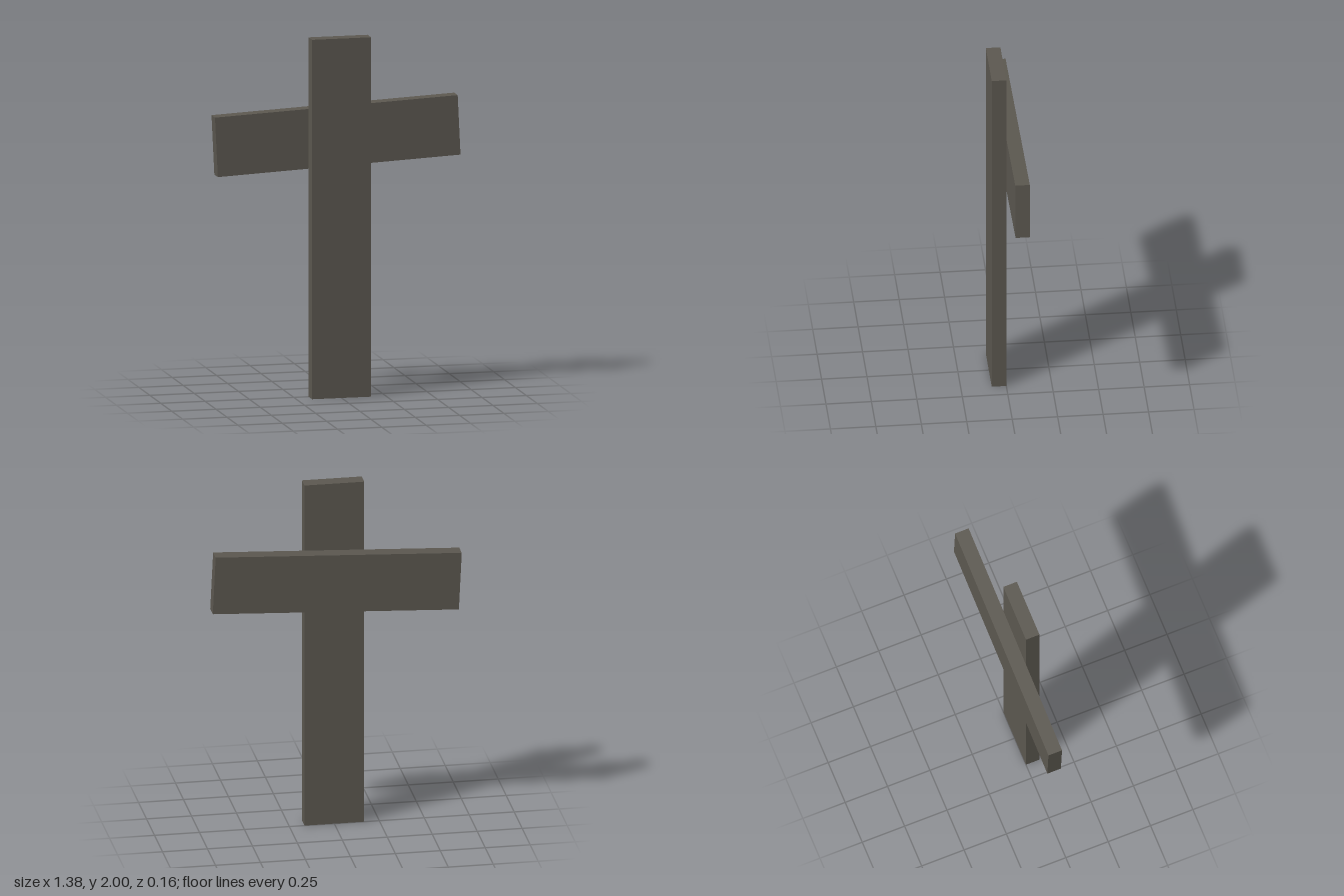
import * as THREE from 'three';

export function createModel() {
  const group = new THREE.Group();
  group.name = 'plankCross';

  const wood = new THREE.MeshStandardMaterial({ color: 0x5c5850 });
  wood.name = 'weathered wood';

  const plankWidth = 0.332;
  const plankDepth = 0.08;

  function plank(name, width, height, x, y, z) {
    const mesh = new THREE.Mesh(new THREE.BoxGeometry(width, height, plankDepth), wood);
    mesh.name = name;
    mesh.position.set(x, y, z);
    group.add(mesh);
    return mesh;
  }

  // Upright plank in front
  plank('uprightPlank', plankWidth, 2, 0, 1, plankDepth / 2);

  // Slightly tilted crossbar fixed behind the upright
  const crossbar = plank('crossbarPlank', 1.37, plankWidth, -0.002, 1.443, -plankDepth / 2);
  crossbar.rotation.z = 0.048;

  return group;
}
